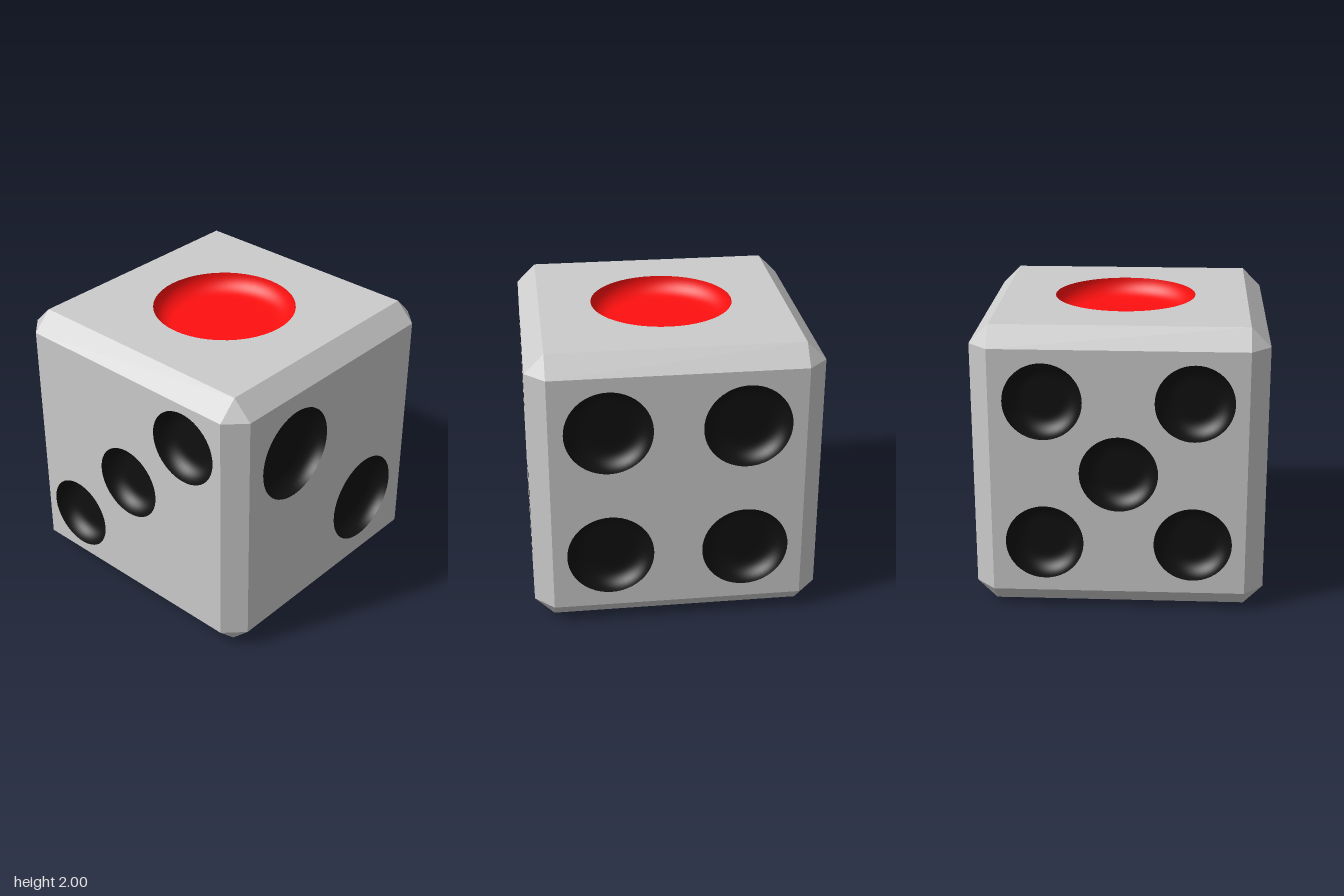
import * as THREE from 'three';
import { mergeGeometries } from 'three/addons/utils/BufferGeometryUtils.js';

const IN = 13 / 15;      // half width of each flat face
const DEPTH = 0.13;      // depth of the pip hollows
const SEGMENTS = 48;

const pairs = (a, b) => [[-a, -b], [-a, b], [a, -b], [a, b]];

// Each face: orientation, pip radius and pip centres in the face's own plane
const FACES = [
  { name: 'topFaceOne', rot: [-Math.PI / 2, 0], r: 0.5, pips: [[0, 0]], color: 0xff1010 },
  { name: 'rightFaceTwo', rot: [0, Math.PI / 2], r: 0.333, pips: [[-0.4, 0.4], [0.4, -0.4]] },
  { name: 'frontFaceThree', rot: [0, 0], r: 0.267, pips: [[-0.533, -0.533], [0, 0], [0.533, 0.533]] },
  { name: 'backFaceFour', rot: [0, Math.PI], r: 0.3, pips: pairs(0.467, 0.467) },
  { name: 'leftFaceFive', rot: [0, -Math.PI / 2], r: 0.267, pips: [[0, 0], ...pairs(0.507, 0.507)] },
  { name: 'bottomFaceSix', rot: [Math.PI / 2, 0], r: 0.218, pips: [[-0.4, 0], [0.4, 0], ...pairs(0.4, 0.533)] },
];

// Flat square with a round opening for every pip
function facePlate(pips, r) {
  const shape = new THREE.Shape([[-IN, -IN], [IN, -IN], [IN, IN], [-IN, IN]].map(p => new THREE.Vector2(...p)));
  for (const [x, y] of pips) {
    shape.holes.push(new THREE.Path().absarc(x, y, r, 0, Math.PI * 2, true));
  }
  return new THREE.ShapeGeometry(shape, SEGMENTS / 2);
}

// Shallow dish: rounded wall running into a flat floor
function pipDish(r) {
  const profile = [];
  for (let i = 0; i <= 10; i++) {
    const a = (i / 10) * Math.PI / 2;
    profile.push(new THREE.Vector2(r - DEPTH + DEPTH * Math.cos(a), -DEPTH * Math.sin(a)));
  }
  profile.push(new THREE.Vector2((r - DEPTH) * 0.9, -DEPTH), new THREE.Vector2(0, -DEPTH));
  return new THREE.LatheGeometry(profile, SEGMENTS).rotateX(Math.PI / 2);
}

// Twelve bevel strips: four around each axis
function edgeBevels() {
  const strips = [];
  const width = (1 - IN) * Math.SQRT2;
  for (let axis = 0; axis < 3; axis++) {
    for (let k = 0; k < 4; k++) {
      const strip = new THREE.PlaneGeometry(2 * IN, width);
      strip.translate(0, 0, (1 + IN) / Math.SQRT2);
      strip.rotateX(Math.PI / 4 + k * Math.PI / 2);
      if (axis === 1) strip.rotateZ(Math.PI / 2);
      if (axis === 2) strip.rotateY(Math.PI / 2);
      strips.push(strip);
    }
  }
  return mergeGeometries(strips);
}

// Eight corner triangles
function cornerBevels() {
  const pos = [];
  for (const x of [-1, 1]) for (const y of [-1, 1]) for (const z of [-1, 1]) {
    const tri = [[x, y * IN, z * IN], [x * IN, y, z * IN], [x * IN, y * IN, z]];
    if (x * y * z < 0) tri.reverse();
    pos.push(...tri.flat());
  }
  const geo = new THREE.BufferGeometry();
  geo.setAttribute('position', new THREE.Float32BufferAttribute(pos, 3));
  geo.computeVertexNormals();
  return geo;
}

export function createModel() {
  const model = new THREE.Group();
  model.name = 'die';
  const grey = new THREE.MeshStandardMaterial({ color: 0xcccccc });

  const add = (parent, name, geometry, material) => {
    const mesh = new THREE.Mesh(geometry, material);
    mesh.name = name;
    parent.add(mesh);
    return mesh;
  };

  // Faces with their hollow pips
  for (const { name, rot, r, pips, color = 0x101010 } of FACES) {
    const face = new THREE.Group();
    face.name = name;
    face.rotation.set(rot[0], rot[1], 0);
    face.position.set(0, 0, 1).applyEuler(face.rotation);
    face.position.y += 1;
    add(face, 'plate', facePlate(pips, r), grey);
    const dish = pipDish(r);
    const paint = new THREE.MeshStandardMaterial({ color });
    for (const [x, y] of pips) add(face, 'pip', dish, paint).position.set(x, y, 0);
    model.add(face);
  }

  // Bevelled edges and corners
  add(model, 'edgeBevels', edgeBevels(), grey).position.y = 1;
  add(model, 'cornerBevels', cornerBevels(), grey).position.y = 1;
  return model;
}
